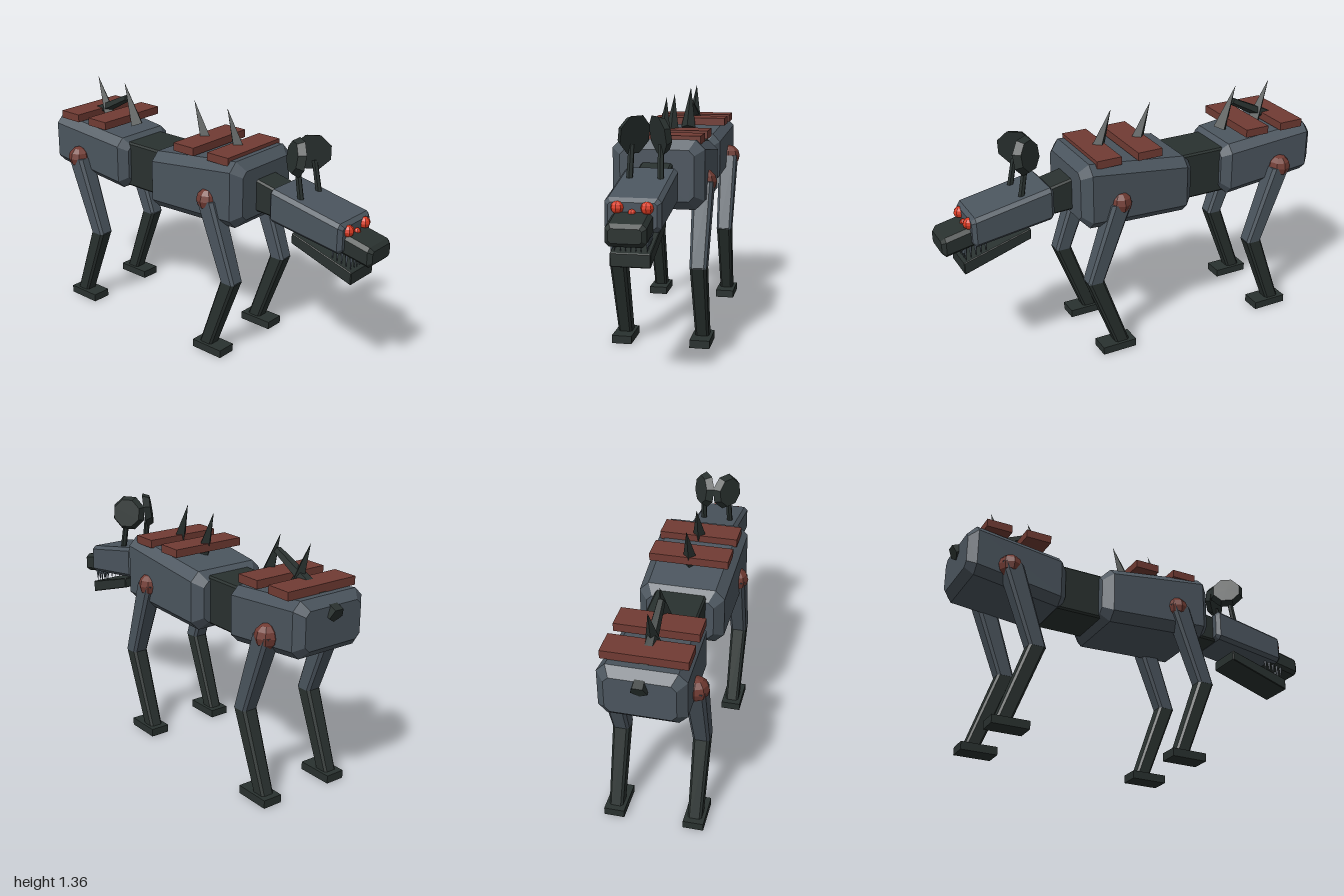
import * as THREE from 'three';

const mat = (name, color) => {
  const m = new THREE.MeshStandardMaterial({ color, flatShading: true });
  m.name = name;
  return m;
};

// Loft of chamfered rectangles along z. Ring: [z, top, bottom, halfWidth, chamfer]
function loft(rings) {
  const pos = [];
  const loops = rings.map(([z, t, b, w, c]) => [
    [w - c, b, z], [w, b + c, z], [w, t - c, z], [w - c, t, z],
    [c - w, t, z], [-w, t - c, z], [-w, b + c, z], [c - w, b, z],
  ]);
  const tri = (...p) => p.forEach((v) => pos.push(...v));
  for (let r = 0; r < loops.length - 1; r++) {
    for (let i = 0; i < 8; i++) {
      const j = (i + 1) % 8, A = loops[r], B = loops[r + 1];
      tri(A[i], A[j], B[j]);
      tri(A[i], B[j], B[i]);
    }
  }
  const first = loops[0], last = loops[loops.length - 1];
  for (let i = 1; i < 7; i++) {
    tri(first[0], first[i + 1], first[i]);
    tri(last[0], last[i], last[i + 1]);
  }
  const g = new THREE.BufferGeometry();
  g.setAttribute('position', new THREE.Float32BufferAttribute(pos, 3));
  g.computeVertexNormals();
  return g;
}

// Tapered block with every edge chamfered by c. End: [z, top, bottom, halfWidth]
function block(back, front, c) {
  const cap = ([z, t, b, w]) => [z, t - c, b + c, w - c, c * 0.6];
  const inset = ([z, t, b, w], s) => [z + s * c, t, b, w, c];
  return loft([cap(back), inset(back, 1), inset(front, -1), cap(front)]);
}

// Tapered limb between two points given as [y, z, halfWidth, halfDepth], lower first
function limb(lower, upper) {
  const ring = ([y, z, w, d]) => [y, -z + d, -z - d, w, w * 0.3];
  return loft([ring(lower), ring(upper)]).rotateX(-Math.PI / 2);
}

export function createModel() {
  const grey = mat('slate grey', 0x4b555e);
  const dark = mat('dark green grey', 0x29312f);
  const rust = mat('rust red', 0x713b33);
  const red = mat('eye red', 0xdc3a22);

  const model = new THREE.Group();
  const hound = new THREE.Group();
  hound.name = 'hound';
  hound.rotation.y = THREE.MathUtils.degToRad(35);
  model.add(hound);
  const body = new THREE.Group();
  body.name = 'body';
  body.position.x = 0.03;
  hound.add(body);

  const add = (name, geo, m, x = 0, y = 0, z = 0, parent = body) => {
    const mesh = new THREE.Mesh(geo, m);
    mesh.name = name;
    mesh.position.set(x, y, z);
    parent.add(mesh);
    return mesh;
  };
  // Round rod or cone from point a to point b in the lengthwise plane at x
  const rod = (name, a, b, r0, r1, sides, m, twist = 0) => {
    const A = new THREE.Vector3(...a), B = new THREE.Vector3(...b);
    const geo = new THREE.CylinderGeometry(r1, r0, A.distanceTo(B), sides).rotateY(twist);
    const mesh = add(name, geo, m);
    mesh.position.copy(A).add(B).multiplyScalar(0.5);
    mesh.quaternion.setFromUnitVectors(new THREE.Vector3(0, 1, 0), B.sub(A).normalize());
    return mesh;
  };

  // Trunk
  add('chest', block([-0.26, 1.085, 0.755, 0.235], [0.42, 1.16, 0.785, 0.25], 0.05), grey);
  add('pelvis', block([-1.06, 1.135, 0.84, 0.225], [-0.475, 1.085, 0.78, 0.205], 0.045), grey);
  add('waist', block([-0.55, 1.06, 0.79, 0.14], [-0.2, 1.06, 0.79, 0.14], 0.01), dark);
  add('neck', block([0.36, 1.05, 0.86, 0.085], [0.62, 1.0, 0.85, 0.085], 0.01), dark);

  // Back plates and spikes
  for (const z of [0.26, 0.015, -0.67, -0.9]) {
    add('backPlate', new THREE.BoxGeometry(0.44, 0.045, 0.145), rust, 0, 1.153, z);
  }
  for (const z of [0.235, -0.005, -0.56, -0.785]) {
    rod('backSpike', [0, 1.12, z], [0, 1.36, z - 0.095], 0.045, 0, 4, dark);
  }

  // Tail rod running up through the pelvis
  rod('tail', [0, 1.045, -1.08], [0, 1.27, -0.635], 0.045, 0.022, 5, dark);

  // Head
  add('skull', block([0.54, 1.035, 0.85, 0.14], [1.0, 0.955, 0.79, 0.14], 0.02), grey);
  add('muzzle', block([0.93, 0.9, 0.785, 0.1], [1.155, 0.86, 0.75, 0.1], 0.02), dark);
  add('jaw', block([0.67, 0.81, 0.75, 0.1], [1.05, 0.7, 0.63, 0.1], 0.004), dark);

  // Teeth along both sides and across the front
  const tooth = new THREE.ConeGeometry(0.011, 0.085, 4).rotateX(Math.PI);
  const addTooth = (x, z) => add('tooth', tooth, grey, x, 0.735 + (1.05 - z) * 0.25, z);
  for (let i = 0; i < 5; i++) {
    addTooth(-0.08, 0.92 + i * 0.028);
    addTooth(0.08, 0.92 + i * 0.028);
    addTooth(-0.05 + i * 0.025, 1.033);
  }

  // Eyes
  for (const s of [-1, 1]) {
    add('eye', new THREE.SphereGeometry(0.032, 8, 6), red, s * 0.073, 0.91, 1.0);
  }
  add('middleEye', new THREE.SphereGeometry(0.02, 8, 6), red, 0, 0.885, 1.005);

  // Dish ears on stems
  for (const s of [-1, 1]) {
    rod('earStem', [s * 0.08, 0.98, 0.71], [s * 0.075, 1.17, 0.675], 0.018, 0.016, 6, dark);
    const disc = new THREE.CylinderGeometry(0.085, 0.105, 0.04, 8)
      .rotateY(Math.PI / 8).rotateZ(-Math.PI / 2);
    if (s < 0) disc.rotateY(Math.PI);
    const ear = add('earDish', disc, dark, s * 0.073, 1.22, 0.66);
    ear.rotation.order = 'YXZ';
    ear.rotation.set(0, s * 0.61, s * 0.15);
  }

  // Legs
  for (const [name, dz] of [['front', 0], ['hind', -1.03]]) {
    for (const s of [-1, 1]) {
      const leg = new THREE.Group();
      leg.name = name + 'Leg';
      leg.position.set(s * 0.22, 0, dz);
      body.add(leg);
      add('hipJoint', new THREE.SphereGeometry(0.066, 8, 6), rust, s * 0.005, 0.915, 0.2, leg);
      add('upperLeg', limb([0.47, 0.365, 0.046, 0.048], [0.92, 0.205, 0.056, 0.06]), grey, 0, 0, 0, leg);
      add('lowerLeg', limb([0.03, 0.2, 0.038, 0.042], [0.475, 0.365, 0.045, 0.048]), dark, 0, 0, 0, leg);
      add('foot', new THREE.BoxGeometry(0.112, 0.045, 0.205), dark, 0, 0.0225, 0.232, leg);
    }
  }
  return model;
}
